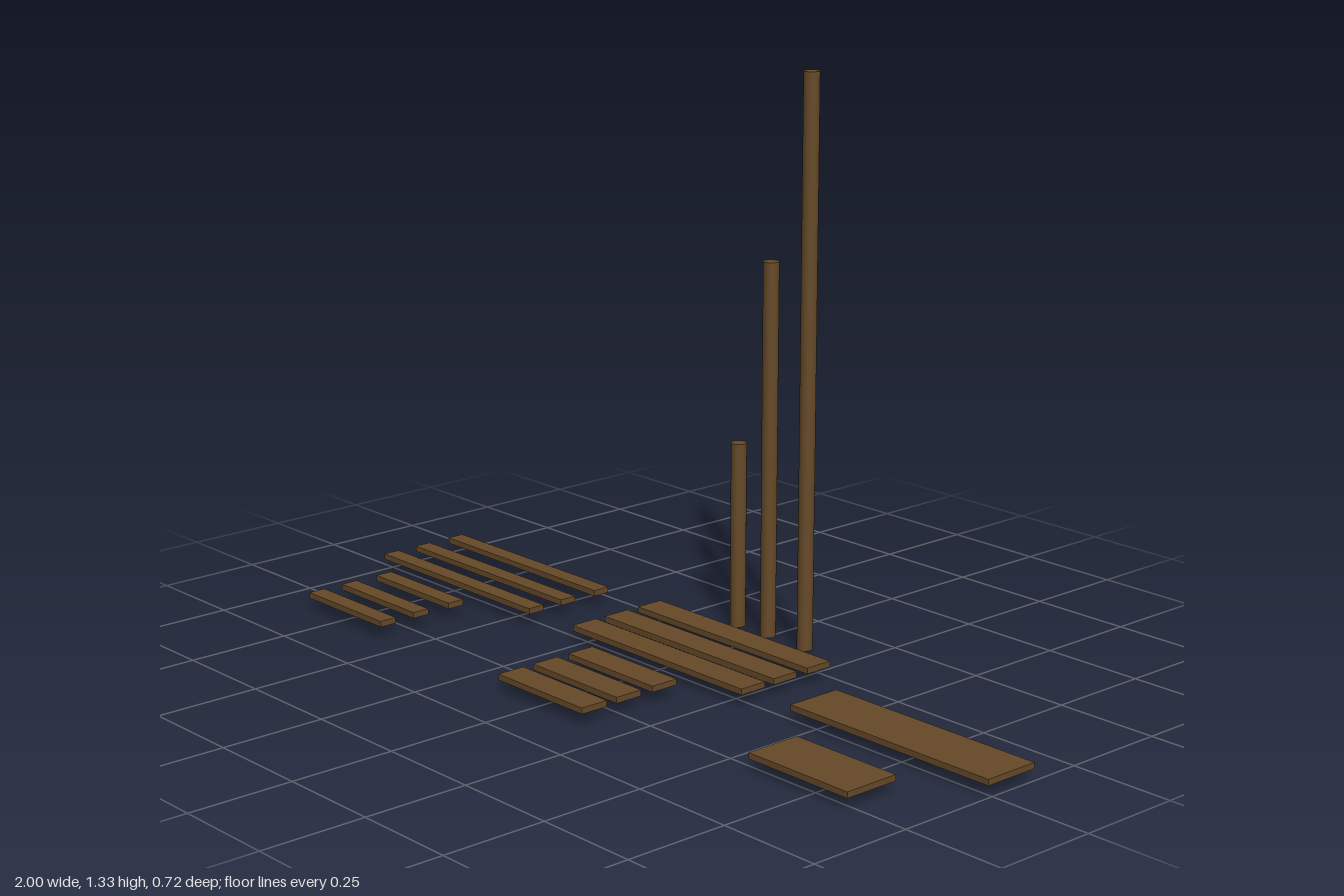
import * as THREE from 'three';

export function createModel() {
  const model = new THREE.Group();
  const wood = new THREE.MeshStandardMaterial({ color: 0x664a28 });
  wood.name = 'darkWood';

  // Upright round poles, each a step taller: [name, x, height]
  const poles = [['shortPole', -0.107, 0.444], ['mediumPole', -0.005, 0.888], ['tallPole', 0.117, 1.332]];
  for (const [name, x, height] of poles) {
    const pole = new THREE.Mesh(new THREE.CylinderGeometry(0.0185, 0.0185, height, 20), wood);
    pole.name = name;
    pole.position.set(x, height / 2, -0.34);
    model.add(pole);
  }

  // Flat planks laid out in sets: [name, centre x, length, width, centre z of each]
  const sets = [
    ['longNarrowPlank', -0.716, 0.567, 0.043, [-0.198, -0.094, 0.003]],
    ['shortNarrowPlank', -0.732, 0.284, 0.043, [0.12, 0.223, 0.318]],
    ['longMediumPlank', 0.01, 0.567, 0.07, [-0.21, -0.107, -0.01]],
    ['shortMediumPlank', 0.01, 0.284, 0.07, [0.122, 0.225, 0.323]],
    ['longWidePlank', 0.716, 0.567, 0.138, [-0.057]],
    ['shortWidePlank', 0.716, 0.284, 0.138, [0.2]],
  ];
  for (const [name, x, length, width, rows] of sets) {
    const geometry = new THREE.BoxGeometry(length, 0.014, width);
    rows.forEach((z, i) => {
      const plank = new THREE.Mesh(geometry, wood);
      plank.name = name + (i + 1);
      plank.position.set(x, 0.033, z);
      model.add(plank);
    });
  }
  return model;
}
